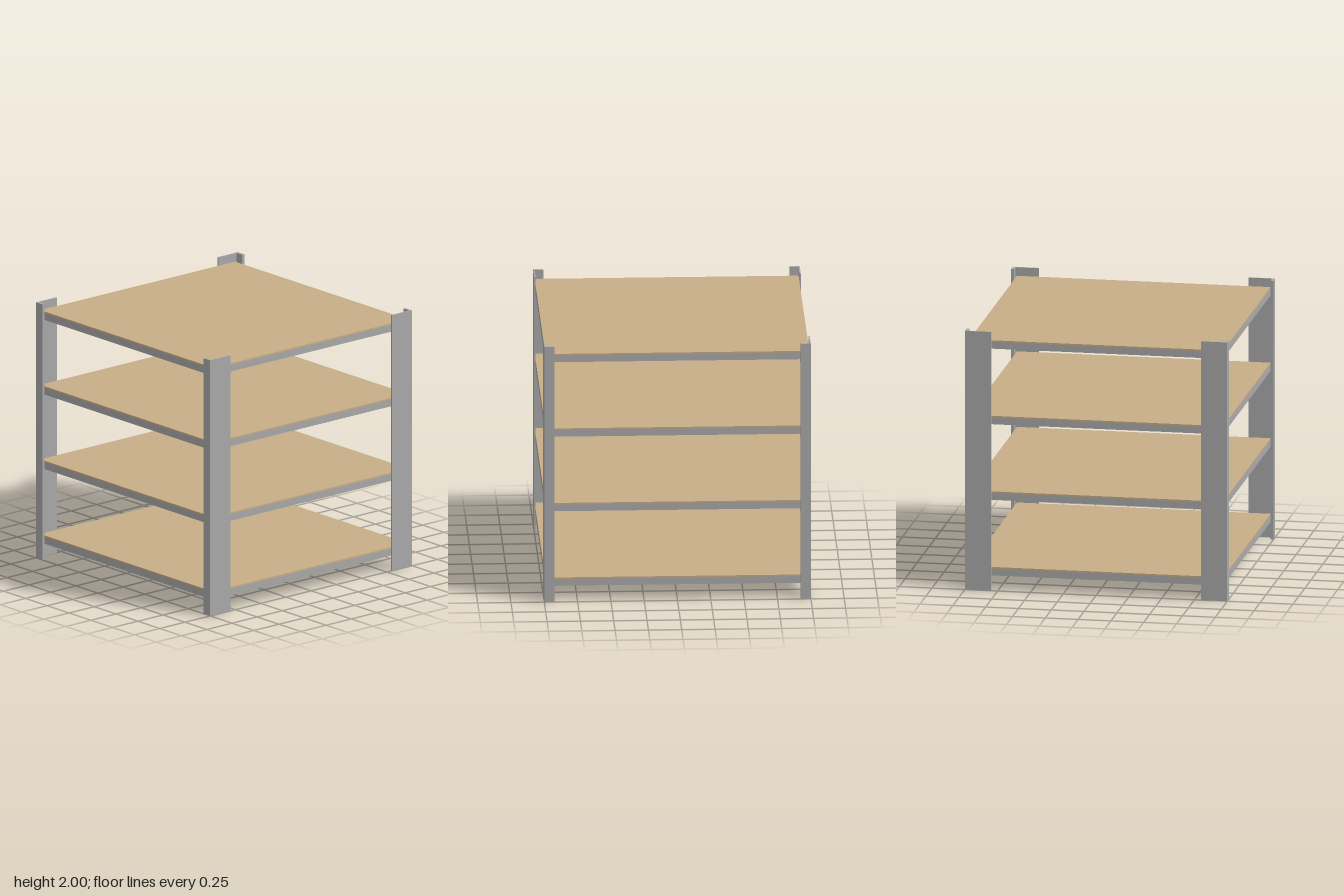
import * as THREE from 'three';

export function createModel() {
  const model = new THREE.Group();
  model.name = 'shelvingUnit';

  const steel = new THREE.MeshStandardMaterial({ color: 0xaaaaaa });
  steel.name = 'grey steel';
  const wood = new THREE.MeshStandardMaterial({ color: 0xc8ae88 });
  wood.name = 'tan board';

  // Box given by its minimum and maximum corners
  function block(name, material, parent, [x0, y0, z0], [x1, y1, z1]) {
    const mesh = new THREE.Mesh(new THREE.BoxGeometry(x1 - x0, y1 - y0, z1 - z0), material);
    mesh.position.set((x0 + x1) / 2, (y0 + y1) / 2, (z0 + z1) / 2);
    mesh.name = name;
    parent.add(mesh);
  }

  // Four L-section corner posts: wide side plate and narrow end flange
  const section = [[1, 1], [0.925, 1], [0.925, 0.978], [0.99, 0.978], [0.99, 0.8], [1, 0.8]];
  for (const sx of [-1, 1]) {
    for (const sz of [-1, 1]) {
      const shape = new THREE.Shape(section.map(([x, z]) => new THREE.Vector2(sx * x, -sz * z)));
      const geometry = new THREE.ExtrudeGeometry(shape, { depth: 2, bevelEnabled: false });
      geometry.rotateX(-Math.PI / 2);
      const post = new THREE.Mesh(geometry, steel);
      post.name = (sz > 0 ? 'front' : 'back') + (sx > 0 ? 'Left' : 'Right') + 'Post';
      model.add(post);
    }
  }

  // Four shelves: a thin board resting on a frame of upright rails
  const X = 0.99, Z = 0.966, T = 0.01, railHeight = 0.053, boardHeight = 0.012;
  for (let i = 0; i < 4; i++) {
    const shelf = new THREE.Group();
    shelf.name = 'shelf' + (i + 1);
    shelf.position.y = 0.117 + i * 0.584;
    block('board', wood, shelf, [-X, railHeight, -Z], [X, railHeight + boardHeight, Z]);
    block('frontRail', steel, shelf, [-X, 0, Z - T], [X, railHeight, Z]);
    block('backRail', steel, shelf, [-X, 0, -Z], [X, railHeight, T - Z]);
    block('leftRail', steel, shelf, [X - T, 0, T - Z], [X, railHeight, Z - T]);
    block('rightRail', steel, shelf, [-X, 0, T - Z], [T - X, railHeight, Z - T]);
    model.add(shelf);
  }

  return model;
}
